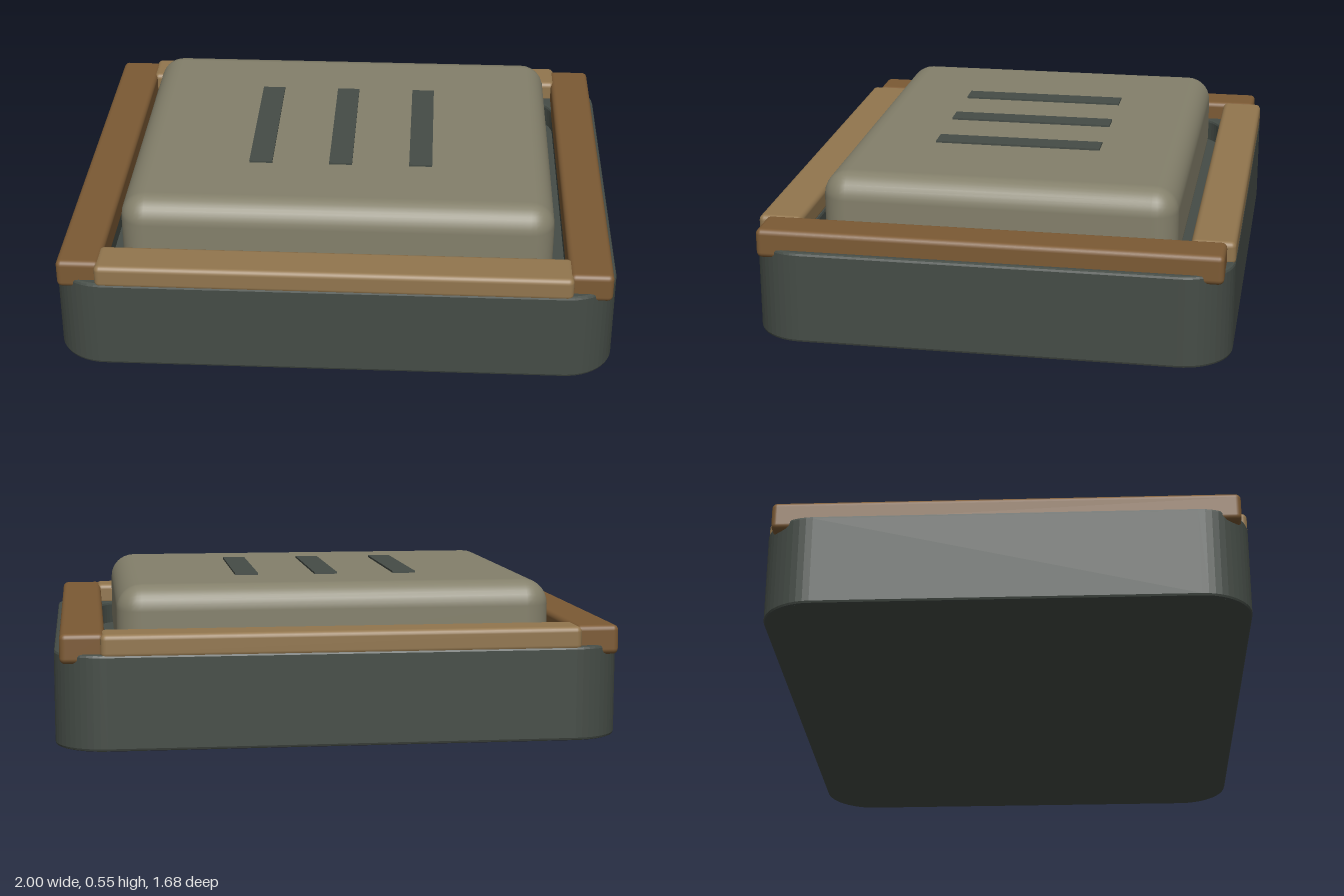
import * as THREE from 'three';
import { RoundedBoxGeometry } from 'three/addons/geometries/RoundedBoxGeometry.js';

const paint = (color) => new THREE.MeshStandardMaterial({ color });

// Rounded rectangle outline, centred on the origin
function roundedRect(path, hx, hz, r) {
  path.moveTo(hx, -hz + r);
  path.absarc(hx - r, hz - r, r, 0, Math.PI / 2);
  path.absarc(-hx + r, hz - r, r, Math.PI / 2, Math.PI);
  path.absarc(-hx + r, -hz + r, r, Math.PI, Math.PI * 1.5);
  path.absarc(hx - r, -hz + r, r, Math.PI * 1.5, Math.PI * 2);
  path.closePath();
  return path;
}

// Upright slab from y0 to y1 with a small bevel inside the given outline
function slab(shape, y0, y1, bevel) {
  const geo = new THREE.ExtrudeGeometry(shape, {
    depth: y1 - y0 - 2 * bevel, bevelEnabled: bevel > 0, bevelSize: bevel,
    bevelThickness: bevel, bevelOffset: -bevel, bevelSegments: 2, curveSegments: 6,
  });
  geo.rotateX(-Math.PI / 2);
  geo.translate(0, y0 + bevel, 0);
  return geo;
}

export function createModel() {
  const group = new THREE.Group();
  const dark = paint(0x454c46);
  const add = (name, geo, material, x = 0, y = 0, z = 0) => {
    const mesh = new THREE.Mesh(geo, material);
    mesh.name = name;
    mesh.position.set(x, y, z);
    group.add(mesh);
  };

  // Tray: solid lower slab and a hollow rim
  const floorY = 0.25;
  add('trayFloor', slab(roundedRect(new THREE.Shape(), 0.99, 0.83, 0.17), 0.005, floorY, 0), dark);
  const rim = roundedRect(new THREE.Shape(), 1, 0.84, 0.18);
  rim.holes.push(roundedRect(new THREE.Path(), 0.83, 0.68, 0.14));
  add('trayWall', slab(rim, 0, 0.335, 0.01), dark);
  add('trayBottom', slab(roundedRect(new THREE.Shape(), 0.99, 0.83, 0.17), 0, 0.02, 0), dark);

  // Wooden rails laid on the rim
  const sideWood = paint(0x7c5a34);
  const endWood = paint(0x92764e);
  for (const s of [1, -1]) {
    add(s > 0 ? 'leftRail' : 'rightRail',
      new RoundedBoxGeometry(0.155, 0.105, 1.62, 3, 0.02), sideWood, s * 0.902, 0.3525, 0);
    add(s > 0 ? 'frontRail' : 'backRail',
      new RoundedBoxGeometry(1.68, 0.085, 0.155, 3, 0.02), endWood, 0, 0.3625, s * 0.7625);
  }

  // Cushion with softly rounded edges
  add('cushion', new RoundedBoxGeometry(1.56, 0.34, 1.265, 4, 0.09), paint(0x84806b), 0, 0.375, 0);

  // Three thin strips on the cushion
  for (const x of [-0.295, 0, 0.295]) {
    add('strip', new THREE.BoxGeometry(0.085, 0.03, 0.61), dark, x, 0.537, 0);
  }
  return group;
}
